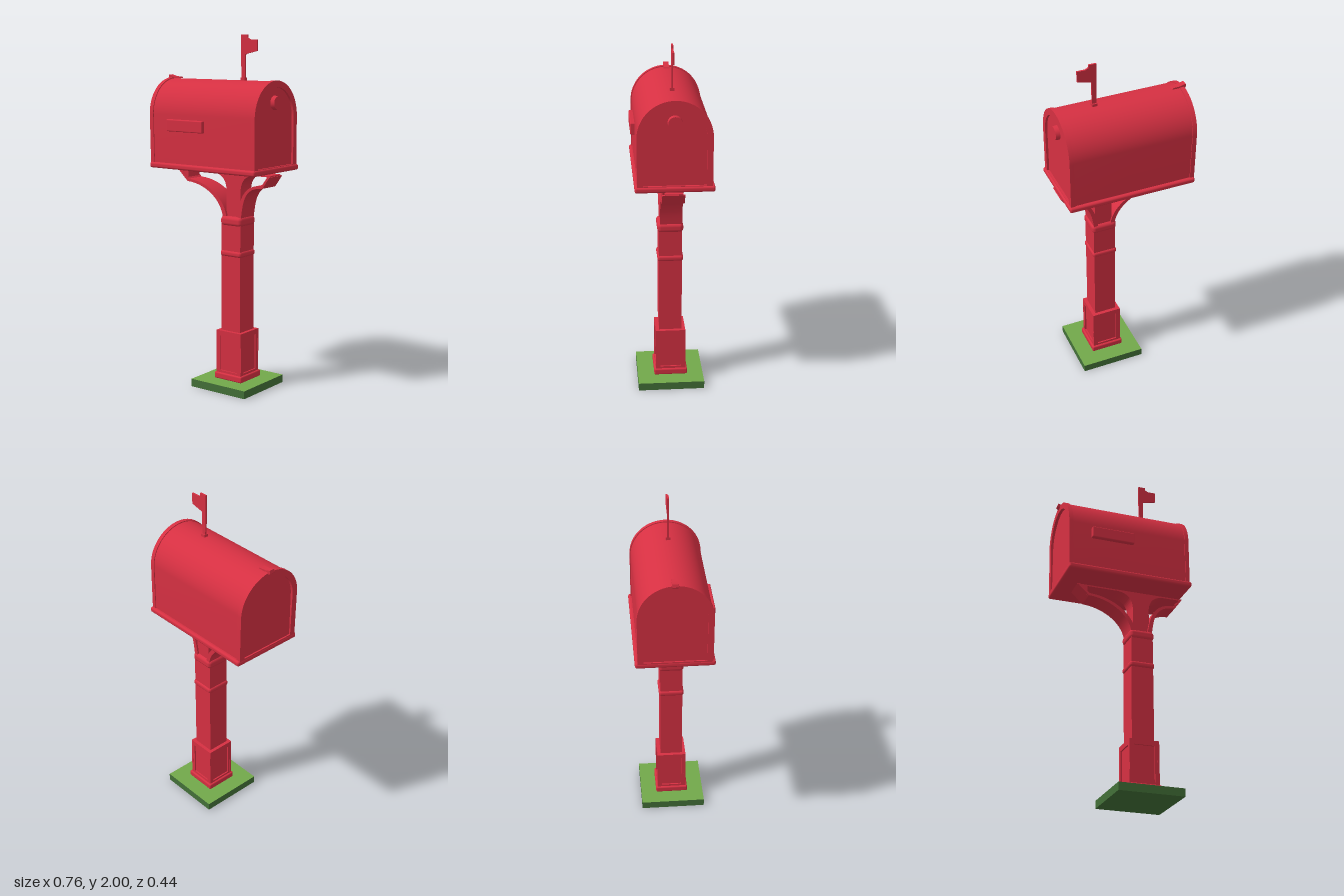
import * as THREE from 'three';
import { toCreasedNormals } from 'three/addons/utils/BufferGeometryUtils.js';
import { RoundedBoxGeometry } from 'three/addons/geometries/RoundedBoxGeometry.js';

const mat = (name, color) => Object.assign(new THREE.MeshStandardMaterial({ color }), { name });

export function createModel() {
  const red = mat('red paint', 0xd63042);
  const grass = mat('grass green', 0x72a84a);
  const darkGreen = mat('dark green', 0x437038);
  const model = new THREE.Group();
  model.name = 'mailbox';

  function add(name, geometry, material = red, parent = model) {
    const mesh = new THREE.Mesh(geometry, material);
    mesh.name = name;
    parent.add(mesh);
    return mesh;
  }
  // Block given by its limits on each axis; radius rounds its edges
  function block(name, [x0, x1], [y0, y1], [z0, z1], radius = 0, material = red) {
    const size = [x1 - x0, y1 - y0, z1 - z0];
    const g = radius ? new RoundedBoxGeometry(...size, 3, radius) : new THREE.BoxGeometry(...size);
    return add(name, g.translate((x0 + x1) / 2, (y0 + y1) / 2, (z0 + z1) / 2), material);
  }
  const extrude = (shape, depth) => toCreasedNormals(
    new THREE.ExtrudeGeometry(shape, { depth, bevelEnabled: false, curveSegments: 28 }), 0.6);
  const polygon = pts => new THREE.Shape(pts.map(p => new THREE.Vector2(...p)));

  // Ground slab: grass top, dark sides
  block('groundSlab', [-0.07, 0.305], [0, 0.045], [-0.18, 0.2], 0,
    [darkGreen, darkGreen, grass, darkGreen, darkGreen, darkGreen]);

  // Post
  const cx = 0.117, cz = 0.008;
  const square = (name, half, y0, y1, radius) =>
    block(name, [cx - half, cx + half], [y0, y1], [cz - half, cz + half], radius);
  square('plinthFoot', 0.096, 0.045, 0.082, 0.008);
  square('plinthCore', 0.077, 0.08, 0.33);
  square('plinthCap', 0.0855, 0.318, 0.33);
  square('postShaft', 0.065, 0.33, 0.96);
  square('lowerCollar', 0.073, 0.763, 0.797, 0.014);
  square('upperCollar', 0.073, 0.938, 0.992, 0.02);

  // Raised frames around the plinth panels
  const frame = polygon([[-0.086, 0.08], [0.086, 0.08], [0.086, 0.33], [-0.086, 0.33]]);
  frame.holes.push(new THREE.Path([[-0.06, 0.095], [-0.06, 0.3], [0.06, 0.3], [0.06, 0.095]]
    .map(p => new THREE.Vector2(...p))));
  for (let i = 0; i < 4; i++) {
    const panel = add('plinthFrame', extrude(frame, 0.01).translate(0, 0, 0.0755));
    panel.position.set(cx, 0, cz);
    panel.rotation.y = i * Math.PI / 2;
  }

  // Neck flaring out under the box
  const neck = new THREE.Shape();
  neck.moveTo(0.07, 0.98);
  neck.lineTo(0.168, 0.98);
  neck.lineTo(0.168, 1.14);
  neck.quadraticCurveTo(0.172, 1.222, 0.25, 1.232);
  neck.lineTo(0.25, 1.24);
  neck.lineTo(-0.02, 1.24);
  neck.lineTo(-0.02, 1.232);
  neck.quadraticCurveTo(0.066, 1.222, 0.07, 1.14);
  neck.closePath();
  add('neck', extrude(neck, 0.1).translate(0, 0, -0.048));

  // Curved brackets: s mirrors outward, tip and knee are the outer corners
  function bracket(name, s, foot, kneeX, tipX) {
    const b = new THREE.Shape();
    b.moveTo(foot, 0.985);
    b.bezierCurveTo(foot + s * 0.015, 1.09, kneeX - s * 0.12, 1.165, kneeX, 1.168);
    b.lineTo(tipX, 1.233);
    b.lineTo(tipX - s * 0.014, 1.235);
    b.lineTo(kneeX - s * 0.006, 1.182);
    b.bezierCurveTo(kneeX - s * 0.12, 1.18, foot - s * 0.008, 1.11, foot - s * 0.025, 0.985);
    b.closePath();
    add(name, extrude(b, 0.124).translate(0, 0, -0.058));
  }
  bracket('leftBracket', 1, 0.18, 0.325, 0.372);
  bracket('rightBracket', -1, 0.054, -0.2, -0.268);
  add('rightBracketEnd', extrude(polygon(
    [[-0.268, 1.235], [-0.204, 1.17], [-0.204, 1.235]]), 0.1).translate(0, 0, -0.048));
  block('bracketTopRail', [-0.265, 0.368], [1.232, 1.24], [-0.048, 0.052]);

  // Box with an arched roof
  const arch = (r, bottom, spring, Type = THREE.Shape) => {
    const a = new Type();
    a.moveTo(-r, bottom);
    a.lineTo(r, bottom);
    a.lineTo(r, spring);
    a.absarc(0, spring, r, 0, Math.PI, false);
    a.closePath();
    return a;
  };
  const alongX = (shape, x0, x1) =>
    extrude(shape, x1 - x0).rotateY(Math.PI / 2).translate(x0, 0, -0.003);
  block('boxFloor', [-0.362, 0.376], [1.25, 1.282], [-0.22, 0.213], 0.012);
  add('boxBody', alongX(arch(0.198, 1.27, 1.553), -0.352, 0.354));
  const rim = arch(0.203, 1.27, 1.553);
  rim.holes.push(arch(0.17, 1.285, 1.55, THREE.Path));
  // The right rim leans outward a little towards the top
  const rightRim = alongX(rim, -0.36, -0.335);
  const p = rightRim.attributes.position;
  for (let i = 0; i < p.count; i++) p.setX(i, p.getX(i) - 0.02 * (p.getY(i) - 1.27));
  add('rightRim', rightRim);
  add('leftRim', alongX(rim, 0.343, 0.367));

  // Door knob and latch
  add('doorKnob', new THREE.CylinderGeometry(0.037, 0.04, 0.028, 28)
    .rotateZ(-Math.PI / 2).translate(0.364, 1.635, -0.003));
  add('latch', extrude(polygon([[-0.36, 1.735], [-0.355, 1.752], [-0.3, 1.752], [-0.305, 1.76],
    [-0.345, 1.762], [-0.378, 1.772], [-0.383, 1.755]]), 0.032).translate(0, 0, -0.022));

  // Name plate on the front
  block('namePlate', [-0.23, 0.024], [1.465, 1.532], [0.19, 0.219], 0.006);

  // Signal flag
  add('flag', extrude(polygon([[0.136, 1.745], [0.158, 1.745], [0.16, 1.895], [0.238, 1.913],
    [0.24, 1.975], [0.192, 1.975], [0.175, 1.984], [0.174, 2], [0.131, 2], [0.131, 1.9]]), 0.01)
    .translate(0, 0, -0.008));
  block('flagFoot', [0.133, 0.161], [1.745, 1.766], [-0.016, 0.01]);

  return model;
}
